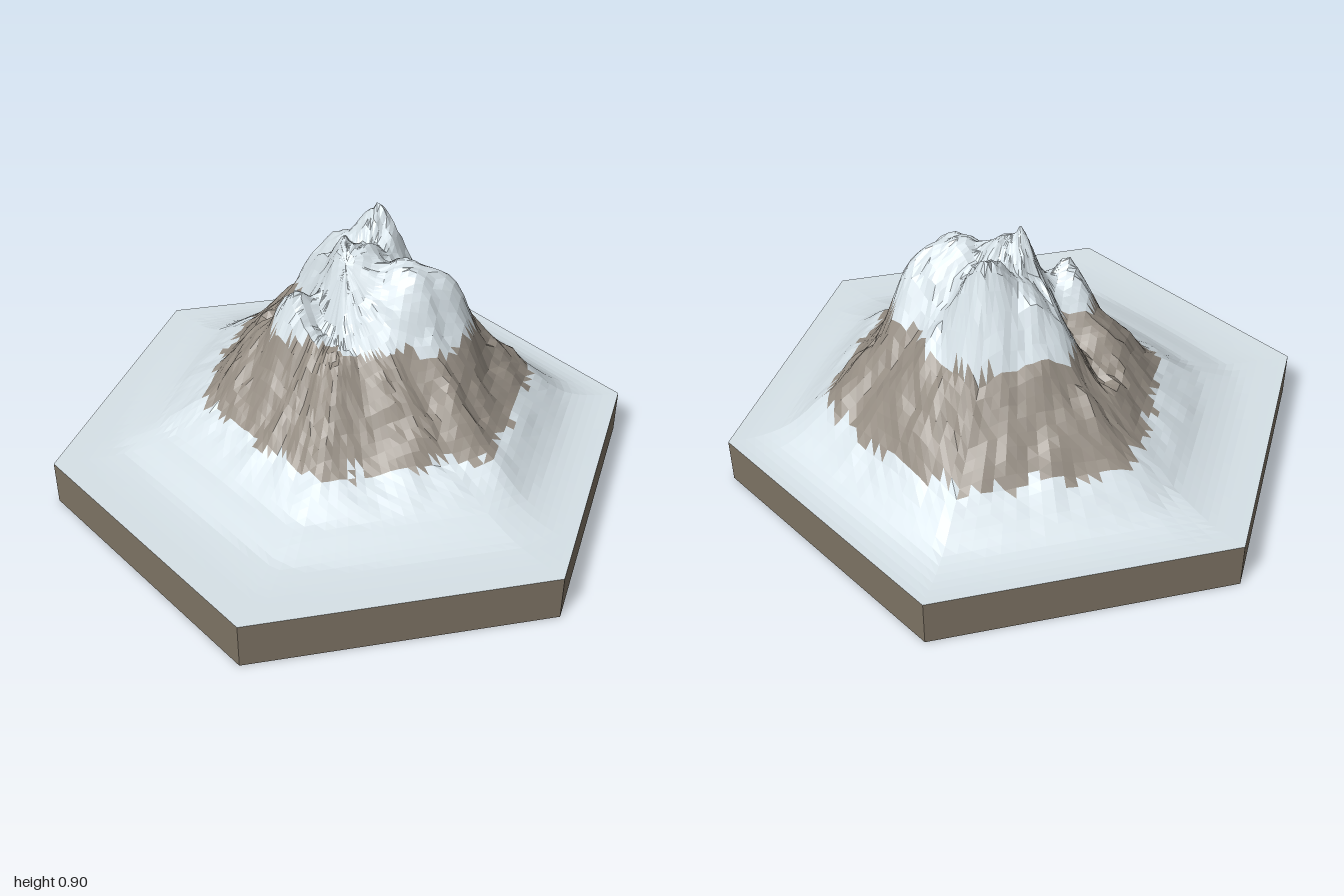
import * as THREE from 'three';

const RINGS = 34, SEGS = 18, BASE = 0.16;

// Seeded value noise
const hash = (i, j) => {
  const s = Math.sin(i * 127.1 + j * 311.7 + 4.3) * 43758.5453;
  return s - Math.floor(s);
};
const ease = (t) => t * t * (3 - 2 * t);
function noise(x, y) {
  const i = Math.floor(x), j = Math.floor(y), u = ease(x - i), v = ease(y - j);
  const a = THREE.MathUtils.lerp(hash(i, j), hash(i + 1, j), u);
  const b = THREE.MathUtils.lerp(hash(i, j + 1), hash(i + 1, j + 1), u);
  return THREE.MathUtils.lerp(a, b, v) * 2 - 1;
}

// Slope of the main massif: [distance from its axis, height]
const SLOPE = [[0, 0.8], [0.1, 0.79], [0.2, 0.7], [0.3, 0.59], [0.4, 0.47],
  [0.54, 0.31], [0.7, 0.215], [0.85, 0.17], [1, BASE], [2, BASE]];
// Peaks and shoulders: [x, z, height added, radius]
const PEAKS = [
  [0.02, -0.3, 0.19, 0.14], [-0.02, -0.05, 0.11, 0.13], [0.2, 0.02, 0.07, 0.13],
  [0.285, -0.1, 0.14, 0.18], [0.36, -0.12, 0.06, 0.1], [-0.13, -0.28, 0.1, 0.16],
  [-0.16, 0.07, 0.11, 0.11],
];
// Ravines: [x0, z0, x1, z1, depth, half width]
const RAVINES = [
  [0.17, -0.2, 0.42, -0.4, 0.05, 0.08], [-0.13, -0.03, -0.3, -0.14, 0.12, 0.09],
  [-0.06, 0.06, 0.03, 0.14, 0.06, 0.07],
];

function slopeHeight(d) {
  const i = SLOPE.findIndex((p) => p[0] > d);
  const [a, b] = [SLOPE[i - 1], SLOPE[i]];
  return a[1] + (b[1] - a[1]) * (d - a[0]) / (b[0] - a[0]);
}

// Distance from the massif's axis, halfway between an oval and a hexagon
function massifDistance(x, z) {
  const ax = Math.abs(x), az = Math.abs(z);
  const hexagon = Math.max(ax, ax / 2 + az * 0.866) / 0.866;
  return (Math.hypot(x / 1.1, z) + hexagon) / 2;
}

function height(x, z, t) {
  let h = slopeHeight(massifDistance(x - 0.045, z + 0.12));
  const rugged = THREE.MathUtils.smoothstep(h, 0.19, 0.42);
  for (const [px, pz, add, r] of PEAKS) {
    h += add * Math.pow(Math.max(0, 1 - Math.hypot(x - px, z - pz) / r), 1.1);
  }
  for (const [ax, az, bx, bz, depth, w] of RAVINES) {
    const dx = bx - ax, dz = bz - az;
    const s = THREE.MathUtils.clamp(((x - ax) * dx + (z - az) * dz) / (dx * dx + dz * dz), 0, 1);
    h -= depth * Math.max(0, 1 - Math.hypot(x - ax - s * dx, z - az - s * dz) / w);
  }
  // Radial ribs, broken crags and fine grain
  const a = Math.atan2(x, z), r = Math.hypot(x, z);
  const ribs = noise(Math.cos(a) * 7 + 20, Math.sin(a) * 7 + r * 2 + 20);
  const crags = noise(x * 15 + 40, z * 15 + 40), grain = noise(x * 42 + 90, z * 42 + 90);
  h += rugged * (0.02 * ribs * Math.min(1, r * 5) + 0.018 * crags + 0.01 * grain);
  // Settle onto the rim of the plinth
  return BASE + Math.max(0, h - BASE) * THREE.MathUtils.smoothstep(1 - t, 0, 0.35);
}

function createTerrain(snow, rock) {
  // Concentric hexagonal rings of points
  const corner = (i) => [Math.sin(i * Math.PI / 3), Math.cos(i * Math.PI / 3)];
  const count = SEGS * 6;
  const point = (k, j) => {
    const t = k / RINGS, n = j % count, side = Math.floor(n / SEGS), f = (n % SEGS) / SEGS;
    const [ax, az] = corner(side), [bx, bz] = corner(side + 1);
    const x = t * (ax + (bx - ax) * f), z = t * (az + (bz - az) * f);
    return [x, height(x, z, t), z];
  };
  const rows = [];
  for (let k = 0; k <= RINGS; k++) {
    rows.push(Array.from({ length: count + 1 }, (_, j) => point(k, j)));
  }

  // Sort each face into the snow or the bare rock band by its height
  const faces = { snow: [], rock: [] };
  const addFace = (a, b, c) => {
    const y = (a[1] + b[1] + c[1]) / 3;
    const wobble = 0.022 * noise(a[0] * 22 + 60, a[2] * 22 + 60);
    const bare = y > 0.305 + wobble && y < 0.585 + wobble;
    (bare ? faces.rock : faces.snow).push(...a, ...b, ...c);
  };
  for (let k = 0; k < RINGS; k++) {
    for (let j = 0; j < count; j++) {
      const a = rows[k][j], b = rows[k + 1][j], c = rows[k + 1][j + 1], d = rows[k][j + 1];
      addFace(a, b, c);
      if (k > 0) addFace(a, c, d);
    }
  }
  const build = (list, material, name) => {
    const g = new THREE.BufferGeometry();
    g.setAttribute('position', new THREE.Float32BufferAttribute(list, 3));
    g.computeVertexNormals();
    const mesh = new THREE.Mesh(g, material);
    mesh.name = name;
    return mesh;
  };
  const terrain = new THREE.Group();
  terrain.name = 'mountain';
  terrain.add(build(faces.snow, snow, 'snowfields'), build(faces.rock, rock, 'rockBand'));
  return terrain;
}

export function createModel() {
  const material = (name, color) => {
    const m = new THREE.MeshStandardMaterial({ color });
    m.name = name;
    return m;
  };
  const snow = material('snow', 0xd9e4ea);
  const rock = material('rock', 0x958d83);
  const earth = material('earth', 0x7c7263);

  const model = new THREE.Group();
  model.name = 'snowyMountain';
  model.add(createTerrain(snow, rock));

  // Hexagonal plinth: side walls and underside
  const walls = new THREE.CylinderGeometry(1, 1, BASE, 6, 1, true).toNonIndexed();
  walls.computeVertexNormals();
  const plinth = new THREE.Mesh(walls, earth);
  plinth.name = 'plinthWalls';
  plinth.position.y = BASE / 2;
  const underside = new THREE.Mesh(new THREE.CircleGeometry(1, 6, Math.PI / 2), earth);
  underside.name = 'plinthUnderside';
  underside.rotation.x = Math.PI / 2;
  model.add(plinth, underside);
  return model;
}
